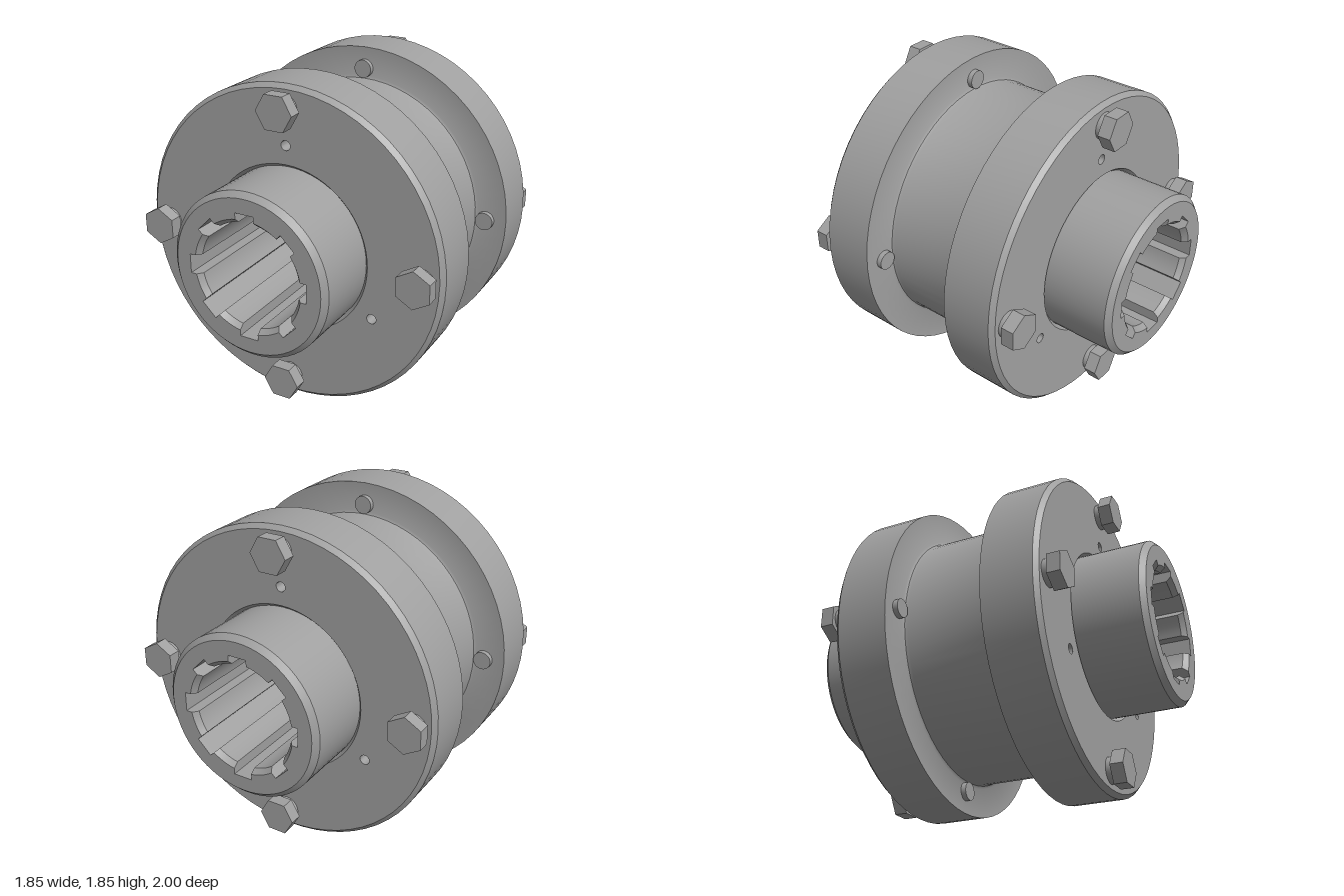
import * as THREE from 'three';
import { toCreasedNormals } from 'three/addons/utils/BufferGeometryUtils.js';

const AXIS_Y = 0.925, SEG = 64;
const STEEL = 0xa0a0a0;
const material = new THREE.MeshStandardMaterial({ color: STEEL });
const insideMaterial = new THREE.MeshStandardMaterial({ color: STEEL, side: THREE.BackSide });

function add(parent, name, geometry, mat = material) {
  const mesh = new THREE.Mesh(geometry, mat);
  mesh.name = name;
  parent.add(mesh);
  return mesh;
}

// Turned part about the z axis; profile points are [radius, z]
function turned(profile) {
  const g = new THREE.LatheGeometry(profile.map(([r, z]) => new THREE.Vector2(r, z)), SEG);
  g.rotateX(Math.PI / 2);
  return toCreasedNormals(g, 0.5);
}

// Cylinder along z between z0 and z1
function rod(radius, z0, z1, sides = 24, open = false) {
  const g = new THREE.CylinderGeometry(radius, radius, z1 - z0, sides, 1, open);
  g.rotateX(Math.PI / 2);
  g.translate(0, 0, (z0 + z1) / 2);
  return toCreasedNormals(g, 0.5);
}

function disc(radius, x = 0, y = 0) {
  const shape = new THREE.Shape();
  shape.absarc(x, y, radius, 0, Math.PI * 2, false);
  return shape;
}

// Eight-slot bore outline with a given crest radius
function splineLoop(crest) {
  const points = [], half = 0.055, root = 0.355, steps = 6;
  const edge = Math.asin(half / crest), origin = new THREE.Vector2();
  for (let k = 0; k < 8; k++) {
    const a = k * Math.PI / 4;
    points.push(new THREE.Vector2(root, -half).rotateAround(origin, a));
    points.push(new THREE.Vector2(root, half).rotateAround(origin, a));
    for (let i = 0; i <= steps; i++) {
      const t = a + edge + (Math.PI / 4 - 2 * edge) * i / steps;
      points.push(new THREE.Vector2(Math.cos(t), Math.sin(t)).multiplyScalar(crest));
    }
  }
  return points;
}

// Inward-facing bore wall with chamfered crests at both mouths
function splineBore() {
  const sections = [[0.325, 1], [0.3, 0.97], [0.3, -0.97], [0.325, -1]];
  const positions = [], index = [];
  const n = splineLoop(0.3).length;
  sections.forEach(([crest, z], s) => {
    splineLoop(crest).forEach(p => positions.push(p.x, p.y, z));
    if (s === sections.length - 1) return;
    for (let i = 0; i < n; i++) {
      const a = s * n + i, b = s * n + (i + 1) % n;
      index.push(a, b, a + n, b, b + n, a + n);
    }
  });
  const g = new THREE.BufferGeometry();
  g.setAttribute('position', new THREE.Float32BufferAttribute(positions, 3));
  g.setIndex(index);
  return toCreasedNormals(g, 0.5);
}

function createBolt() {
  const bolt = new THREE.Group();
  bolt.name = 'bolt';
  add(bolt, 'boltWasher', rod(0.075, 0.6, 0.635));
  add(bolt, 'boltHead', rod(0.109, 0.635, 0.71, 6));
  add(bolt, 'boltTail', rod(0.053, 0.25, 0.29));
  return bolt;
}

// Everything that repeats on both ends
function createEnd() {
  const end = new THREE.Group();

  // Flange face with an opening for the hub and three small holes
  const face = disc(0.9);
  face.holes.push(disc(0.488));
  for (let i = 0; i < 3; i++) {
    const a = Math.PI / 2 + i * Math.PI * 2 / 3;
    const x = 0.595 * Math.cos(a), y = 0.595 * Math.sin(a);
    face.holes.push(disc(0.028, x, y));
    add(end, 'lubricationHole', rod(0.028, 0.45, 0.6, 24, true), insideMaterial).position.set(x, y, 0);
    add(end, 'lubricationHoleFloor', new THREE.CircleGeometry(0.028, 24)).position.set(x, y, 0.45);
  }
  add(end, 'flangeFace', new THREE.ShapeGeometry(face, SEG / 2)).position.z = 0.6;

  // Countersunk edge where the hub enters the flange
  add(end, 'flangeCountersink', turned([[0.488, 0.6], [0.468, 0.575]]));

  // Hub end face
  const hubFace = disc(0.44);
  hubFace.holes.push(new THREE.Path(splineLoop(0.325)));
  add(end, 'hubFace', new THREE.ShapeGeometry(hubFace, SEG / 2)).position.z = 1;

  // Four bolts, hex flats facing the axis
  for (let i = 0; i < 4; i++) {
    const holder = new THREE.Group();
    holder.name = 'boltPosition';
    const bolt = createBolt();
    bolt.position.y = 0.8;
    bolt.rotation.z = Math.PI / 6;
    holder.add(bolt);
    holder.rotation.z = i * Math.PI / 2;
    end.add(holder);
  }
  return end;
}

export function createModel() {
  const model = new THREE.Group();
  model.name = 'flangedCoupling';
  const body = new THREE.Group();
  body.name = 'couplingBody';
  body.position.y = AXIS_Y;
  model.add(body);

  // Drum and both flanges, with small fillets where they meet
  const half = [[0.735, 0.255], [0.74, 0.272], [0.755, 0.28], [0.925, 0.28], [0.925, 0.575], [0.9, 0.6]];
  const mirrored = half.map(([r, z]) => [r, -z]).reverse();
  add(body, 'housing', turned([...mirrored, ...half]));

  // Splined hub
  add(body, 'hub', turned([[0.44, -1], [0.47, -0.97], [0.47, 0.97], [0.44, 1]]));
  add(body, 'splineBore', splineBore());

  for (const side of [0, 1]) {
    const end = createEnd();
    end.name = side ? 'backEnd' : 'frontEnd';
    end.rotation.y = side * Math.PI;
    body.add(end);
  }
  return model;
}
